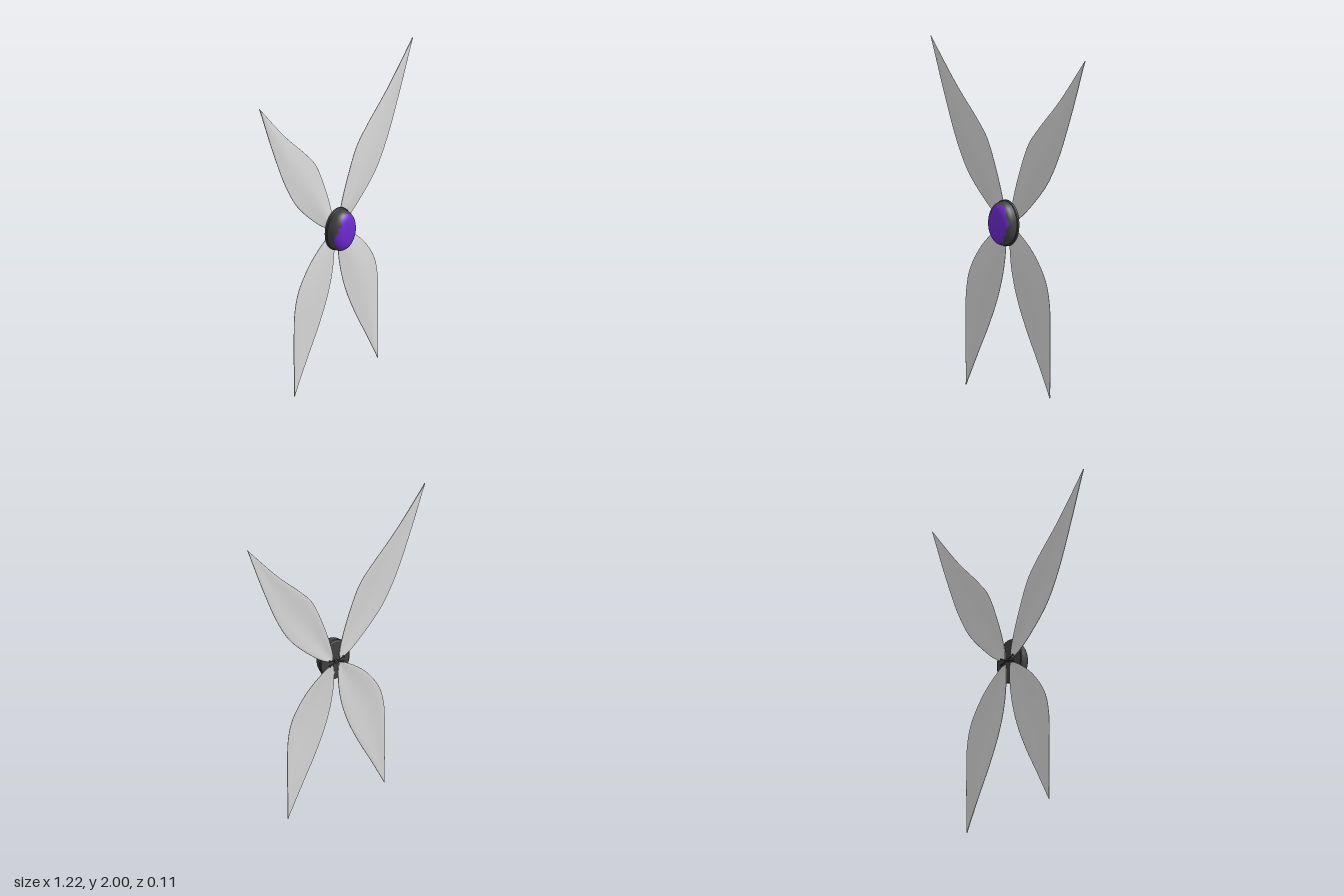
import * as THREE from 'three';
import { toCreasedNormals } from 'three/addons/utils/BufferGeometryUtils.js';

const wingGrey = new THREE.MeshStandardMaterial({ color: 0xdcdcdc });
wingGrey.name = 'wing grey';
const charcoal = new THREE.MeshStandardMaterial({ color: 0x424242 });
charcoal.name = 'charcoal';
const purple = new THREE.MeshStandardMaterial({ color: 0x6e2ad0 });
purple.name = 'purple';

const HUB_Y = 0.985, RX = 0.1, RY = 0.135;

function add(group, name, geometry, material) {
  const mesh = new THREE.Mesh(geometry, material);
  mesh.name = name;
  group.add(mesh);
  return mesh;
}

// Indexed surface from a grid of points whose rows close on themselves
function loopSurface(rows, cols, pointAt) {
  const pos = [], idx = [];
  for (let i = 0; i <= rows; i++)
    for (let j = 0; j < cols; j++) pos.push(...pointAt(i / rows, j / cols));
  for (let i = 0; i < rows; i++)
    for (let j = 0; j < cols; j++) {
      const k = (j + 1) % cols;
      const a = i * cols + j, b = a + cols, c = i * cols + k, d = c + cols;
      idx.push(a, b, c, b, d, c);
    }
  const g = new THREE.BufferGeometry();
  g.setAttribute('position', new THREE.Float32BufferAttribute(pos, 3));
  g.setIndex(idx);
  g.computeVertexNormals();
  return g;
}

// Thin, softly waved blade with rounded rims between two edge curves
function wing(edgeA, edgeB, side) {
  const curve = (pts) => new THREE.CatmullRomCurve3(
    pts.map(([x, y]) => new THREE.Vector3(x * side, y, 0)), false, 'centripetal');
  const a = curve(side > 0 ? edgeA : edgeB), b = curve(side > 0 ? edgeB : edgeA);
  return loopSurface(56, 36, (u, t) => {
    const phi = t * Math.PI * 2, v = Math.cos(phi), arch = Math.sin(Math.PI * u);
    const p = a.getPoint(u).lerp(b.getPoint(u), (1 - v) / 2);
    const h = Math.sin(phi), rounded = Math.sign(h) * Math.sqrt(Math.abs(h));
    const z = -0.041 + 0.006 * arch * arch + 0.004 * Math.cos(3 * v) * arch + rounded * 0.0045;
    return [p.x, p.y, z];
  });
}

const upperOuter = [[0.025, 0.995], [0.05, 0.997], [0.1, 1.025], [0.18, 1.095], [0.31, 1.24],
  [0.4, 1.405], [0.5, 1.67], [0.608, 2]];
const upperInner = [[0.025, 0.995], [0.022, 1.03], [0.037, 1.11], [0.085, 1.27], [0.162, 1.46],
  [0.24, 1.56], [0.4, 1.735], [0.608, 2]];
const lowerInner = [[0.022, 0.965], [0.014, 0.935], [0.016, 0.82], [0.034, 0.69], [0.076, 0.54],
  [0.145, 0.375], [0.23, 0.205], [0.33, 0]];
const lowerOuter = [[0.022, 0.965], [0.045, 0.96], [0.1, 0.925], [0.2, 0.835], [0.295, 0.69],
  [0.328, 0.56], [0.334, 0.33], [0.33, 0]];

// Ragged border of the purple patch: fraction of hub radius every 15 degrees
const border = [0.82, 0.8, 0.74, 0.84, 0.85, 0.86, 0.85, 0.84, 0.8, 0.58, 0.74, 0.66,
  0.85, 0.87, 0.86, 0.86, 0.85, 0.84, 0.83, 0.82, 0.8, 0.68, 0.78, 0.68];
function borderAt(t) {
  const f = t * border.length, i = Math.floor(f) % border.length;
  return THREE.MathUtils.lerp(border[i], border[(i + 1) % border.length], f - Math.floor(f));
}

// Part of the domed front between two radius functions
function domePart(inner, outer) {
  return loopSurface(16, 96, (u, t) => {
    const s = THREE.MathUtils.lerp(inner(t), outer(t), Math.sin(u * Math.PI / 2));
    const z = 0.06 * Math.sqrt(Math.max(0, 1 - Math.pow(s / 0.95, 3.6)));
    const angle = t * Math.PI * 2;
    return [Math.cos(angle) * s * RX, Math.sin(angle) * s * RY, z];
  });
}

export function createModel() {
  const model = new THREE.Group();
  model.name = 'wingedPod';

  // Two mirrored pairs of wings
  for (const [label, side] of [['left', 1], ['right', -1]]) {
    add(model, label + 'UpperWing', wing(upperOuter, upperInner, side), wingGrey);
    add(model, label + 'LowerWing', wing(lowerInner, lowerOuter, side), wingGrey);
  }

  // Oval pod with a rim and a two-tone dome
  const hub = new THREE.Group();
  hub.name = 'hub';
  hub.position.y = HUB_Y;
  model.add(hub);
  const profile = [[0, -0.034], [0.95, -0.034], [1, -0.03], [1, -0.017], [0.96, -0.013], [0.95, 0]]
    .map(([r, z]) => new THREE.Vector2(r, z));
  const base = new THREE.LatheGeometry(profile, 64);
  base.rotateX(Math.PI / 2);
  base.scale(RX, RY, 1);
  add(hub, 'hubBase', toCreasedNormals(base, 0.5), charcoal);
  add(hub, 'hubShell', domePart(borderAt, () => 0.95), charcoal);
  add(hub, 'purplePatch', domePart(() => 0, borderAt), purple);

  // Wing hinges on the back: crossed rods with end pins
  for (const side of [1, -1]) {
    const rod = add(hub, 'hingeRod', new THREE.CylinderGeometry(0.003, 0.003, 0.1, 10), charcoal);
    rod.position.z = -0.049;
    rod.rotation.z = side * 1.2;
    for (const end of [1, -1]) {
      const pin = add(hub, 'hingePin', new THREE.CylinderGeometry(0.005, 0.005, 0.012, 14), charcoal);
      pin.rotation.x = Math.PI / 2;
      pin.position.set(side * 0.047, end * 0.018, -0.049);
    }
  }
  const boss = add(hub, 'hingeBoss', new THREE.CylinderGeometry(0.009, 0.009, 0.022, 16), charcoal);
  boss.rotation.x = Math.PI / 2;
  boss.position.z = -0.044;

  return model;
}
